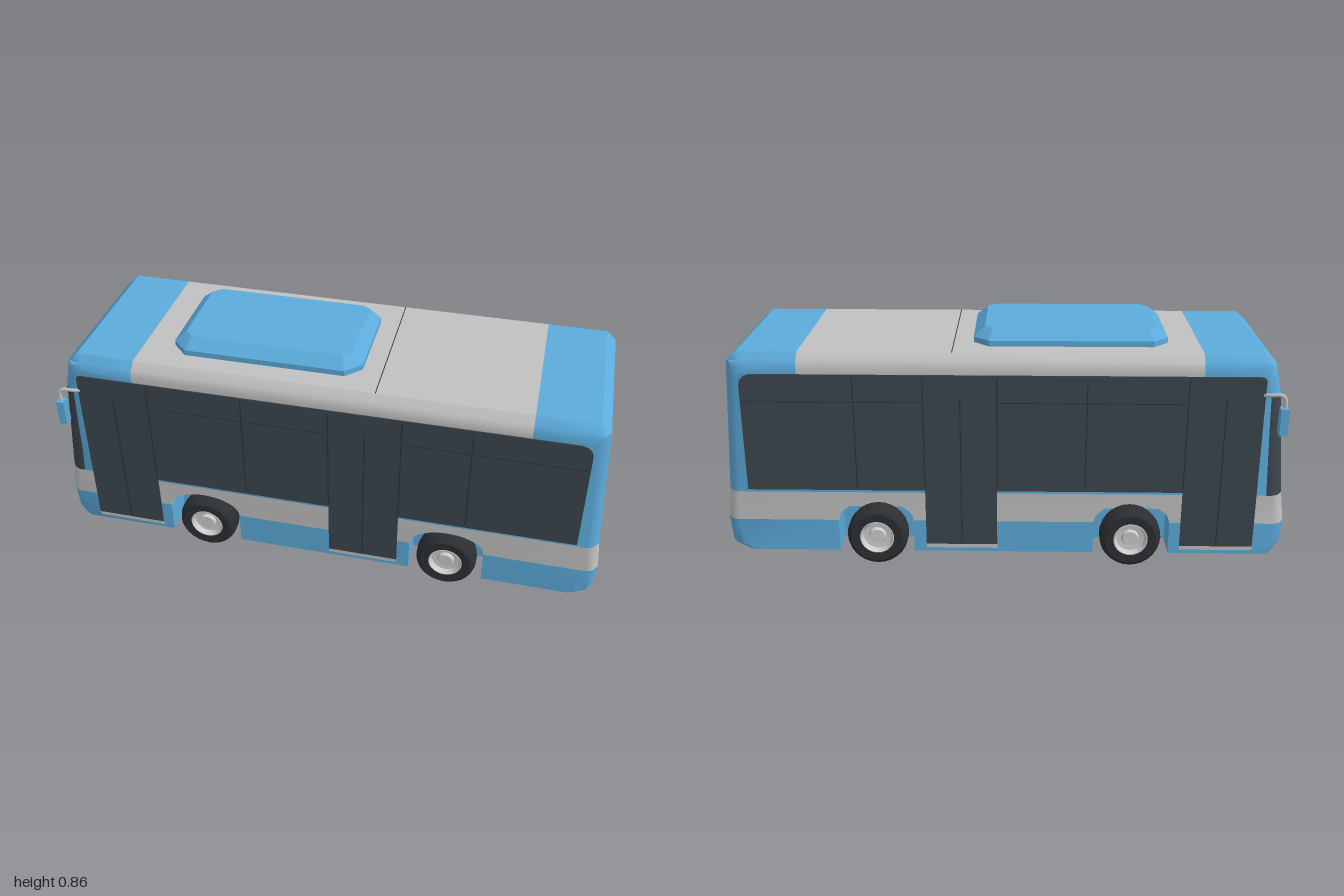
import * as THREE from 'three';
import { toCreasedNormals } from 'three/addons/utils/BufferGeometryUtils.js';

const mat = (name, color) => Object.assign(new THREE.MeshStandardMaterial({ color }), { name });

// End outlines of the body as [y, x], front of the bus at -x
const FRONT = [[0.06, -0.97], [0.1, -0.995], [0.18, -1], [0.29, -0.985], [0.66, -0.95], [0.77, -0.925], [0.8, -0.89]];
const REAR = [[0.06, 0.945], [0.085, 0.99], [0.18, 0.998], [0.29, 0.985], [0.77, 0.955], [0.8, 0.92]];
// Layers across the width: z, inset of the ends, height limit (rounds the corners and roof edges)
const HALF = [[0.32, 0.04, 0.755], [0.311, 0.018, 0.775], [0.285, 0, 0.8]];
const LAYERS = [...HALF.map(([z, i, t]) => [-z, i, t]), ...[...HALF].reverse()];
const WHEELS = [-0.455, 0.46];
const ARCH = 0.135;

function endX(table, y) {
  for (let i = 1; i < table.length; i++) {
    const [y0, x0] = table[i - 1], [y1, x1] = table[i];
    if (y <= y1) return x0 + (x1 - x0) * Math.max(0, (y - y0) / (y1 - y0));
  }
  return table[table.length - 1][1];
}

export function createModel() {
  const bus = new THREE.Group();
  bus.name = 'bus';
  const blue = mat('blue paint', 0x5cabdc);
  const white = mat('light grey paint', 0xc1c1c1);
  const glass = mat('dark glass', 0x3c464e);
  const seam = mat('dark seam', 0x2b343b);
  const rubber = mat('tyre rubber', 0x2c2f32);
  const rimGrey = mat('rim grey', 0xcdcdcd);

  const add = (name, geometry, material, parent = bus) => {
    const mesh = new THREE.Mesh(geometry, material);
    mesh.name = name;
    parent.add(mesh);
    return mesh;
  };
  const box = (name, m, x0, x1, y0, y1, z0, z1) =>
    add(name, new THREE.BoxGeometry(x1 - x0, y1 - y0, z1 - z0)
      .translate((x0 + x1) / 2, (y0 + y1) / 2, (z0 + z1) / 2), m);

  // Full-width slice of the body; a null x means the bus end. Arches are cut from the bottom edge.
  function slab(name, m, y0, y1, xa, xb, arches = []) {
    const shape = new THREE.Shape();
    const between = (t) => t.filter(([y]) => y > y0 && y < y1).map(([y, x]) => [x, y]);
    const side = (x, t) => x === null
      ? [[endX(t, y0), y0], ...between(t), [endX(t, y1), y1]] : [[x, y0], [x, y1]];
    const pts = side(xb, REAR).concat(side(xa, FRONT).reverse());
    shape.moveTo(...pts[0]);
    pts.slice(1).forEach((p) => shape.lineTo(...p));
    for (const w of arches) {
      shape.lineTo(w - ARCH, y0);
      shape.absellipse(w, y0, ARCH, 0.075, Math.PI, 0, true);
    }
    shape.closePath();
    const n = LAYERS.length - 1;
    const g = new THREE.ExtrudeGeometry(shape, { depth: n, steps: n, bevelEnabled: false, curveSegments: 10 });
    const p = g.attributes.position;
    for (let i = 0; i < p.count; i++) {
      const [z, inset, top] = LAYERS[Math.round(p.getZ(i))];
      const y = p.getY(i);
      const x = THREE.MathUtils.clamp(p.getX(i), endX(FRONT, y) + inset, endX(REAR, y) - inset);
      p.setXYZ(i, x, Math.min(y, top), z);
    }
    add(name, toCreasedNormals(g, 0.7), m);
  }

  // Lower body
  slab('frontSkirt', blue, 0.06, 0.18, null, WHEELS[0] - ARCH);
  slab('middleSkirt', blue, 0.06, 0.18, WHEELS[0] + ARCH, WHEELS[1] - ARCH);
  slab('rearSkirt', blue, 0.06, 0.18, WHEELS[1] + ARCH, null);
  slab('waistBand', white, 0.18, 0.29, null, null, WHEELS);
  for (const w of WHEELS) {
    box('wheelWellFloor', blue, w - 0.14, w + 0.14, 0.06, 0.18, -0.205, 0.205);
    box('wheelWellWall', white, w - 0.14, w + 0.14, 0.18, 0.27, -0.205, 0.205);
  }

  // Upper body and roof
  slab('cabin', blue, 0.29, 0.73, -0.925, null);
  slab('windscreen', glass, 0.29, 0.66, null, -0.925);
  slab('frontBrow', blue, 0.66, 0.73, null, -0.925);
  slab('frontRoof', blue, 0.73, 0.8, null, -0.68);
  slab('middleRoof', white, 0.73, 0.8, -0.68, 0.71);
  slab('rearRoof', blue, 0.73, 0.8, 0.71, null);
  box('roofSeam', seam, 0.178, 0.181, 0.795, 0.801, -0.284, 0.284);

  // Roof unit with bevelled edges
  const plan = new THREE.Shape([[-0.27, -0.17], [0.27, -0.17], [0.3, -0.14], [0.3, 0.14],
    [0.27, 0.17], [-0.27, 0.17], [-0.3, 0.14], [-0.3, -0.14]].map((p) => new THREE.Vector2(...p)));
  add('roofUnit', new THREE.ExtrudeGeometry(plan,
    { depth: 0.05, bevelSize: 0.04, bevelThickness: 0.035, bevelSegments: 1 })
    .rotateX(-Math.PI / 2).translate(-0.23, 0.77, 0), blue);

  // Side glazing, running down into both doors
  const glazing = new THREE.Shape();
  [[-0.89, 0.09], [-0.63, 0.09], [-0.63, 0.3], [0.025, 0.3], [0.025, 0.09], [0.28, 0.09], [0.28, 0.3], [0.91, 0.3]]
    .forEach(([x, y], i) => (i ? glazing.lineTo(x, y) : glazing.moveTo(x, y)));
  glazing.lineTo(0.91, 0.68);
  glazing.quadraticCurveTo(0.91, 0.73, 0.86, 0.73);
  glazing.lineTo(-0.87, 0.73);
  glazing.quadraticCurveTo(-0.89, 0.73, -0.89, 0.71);
  for (const s of [1, -1]) {
    add('sideGlazing', new THREE.ExtrudeGeometry(glazing, { depth: 0.008, bevelEnabled: false })
      .translate(0, 0, s > 0 ? 0.316 : -0.324), glass);
    const line = (x0, x1, y0, y1) => {
      const z = s * 0.3235;
      box('glazingSeam', seam, x0, x1, y0, y1, z - 0.002, z + 0.002);
    };
    for (const x of [-0.63, -0.285, 0.025, 0.28, 0.52]) line(x - 0.002, x + 0.002, 0.31, 0.72);
    for (const x of [-0.76, 0.152]) line(x - 0.002, x + 0.002, 0.095, 0.65);
    line(-0.62, 0.02, 0.63, 0.633);
    line(0.29, 0.9, 0.63, 0.633);
    for (const [x0, x1] of [[-0.89, -0.63], [0.025, 0.28]])
      box('doorSill', white, x0, x1, 0.075, 0.09, s * 0.318 - 0.005, s * 0.318 + 0.005);
  }

  // Thin plates lying on the sloped ends; points are [z, y]
  function endPlate(name, m, table, pts, lift) {
    const out = table === REAR ? 1 : -1;
    const g = new THREE.ShapeGeometry(new THREE.Shape(pts.map(([z, y]) => new THREE.Vector2(-out * z, y))));
    const p = g.attributes.position;
    for (let i = 0; i < p.count; i++) {
      const u = p.getX(i), y = p.getY(i);
      p.setXYZ(i, endX(table, y) + out * lift, y, -out * u);
    }
    g.computeVertexNormals();
    add(name, g, m);
  }
  const rect = (z0, z1, y0, y1) => [[z0, y0], [z1, y0], [z1, y1], [z0, y1]];
  endPlate('rearWindow', glass, REAR, rect(0.005, 0.24, 0.335, 0.748), 0.004);
  endPlate('rearWindow', glass, REAR, rect(-0.245, -0.005, 0.335, 0.752), 0.004);
  endPlate('rearWindowSeam', seam, REAR, rect(-0.24, 0.24, 0.591, 0.594), 0.006);
  endPlate('rearPanel', blue, REAR, [[-0.12, 0.232], [0.12, 0.232], [0.16, 0.29], [-0.16, 0.29]], 0.004);
  endPlate('numberPanelFrame', seam, REAR, rect(-0.092, 0.092, 0.118, 0.168), 0.003);
  endPlate('numberPanel', blue, REAR, rect(-0.089, 0.089, 0.121, 0.165), 0.005);
  for (const z of [-0.155, 0.155])
    endPlate('rearSkirtSeam', seam, REAR, rect(z - 0.0015, z + 0.0015, 0.086, 0.18), 0.003);
  endPlate('signWindow', glass, FRONT, rect(-0.27, 0.27, 0.69, 0.765), 0.004);

  // Wheels
  const v = (pts) => pts.map((p) => new THREE.Vector2(...p));
  const lathe = (pts) => toCreasedNormals(new THREE.LatheGeometry(v(pts), 28).rotateX(Math.PI / 2), 0.6);
  const tyre = lathe([[0, -0.045], [0.092, -0.045], [0.106, -0.032], [0.11, -0.015], [0.11, 0.02],
    [0.104, 0.037], [0.092, 0.046], [0.062, 0.044], [0.058, 0.02]]);
  const rim = lathe([[0.063, 0.043], [0.059, 0.045], [0.05, 0.026], [0.032, 0.024], [0.027, 0.036], [0, 0.036]]);
  for (const x of WHEELS) for (const s of [1, -1]) {
    const wheel = new THREE.Group();
    wheel.name = 'wheel';
    wheel.position.set(x, 0.11, s * 0.275);
    wheel.rotation.y = s > 0 ? 0 : Math.PI;
    add('tyre', tyre, rubber, wheel);
    add('rim', rim, rimGrey, wheel);
    bus.add(wheel);
  }

  // Mirrors on bent arms
  for (const s of [1, -1]) {
    const arm = new THREE.CatmullRomCurve3([[-0.88, 0.665, 0.315], [-0.9, 0.668, 0.328], [-0.945, 0.668, 0.333],
      [-0.955, 0.655, 0.336], [-0.955, 0.61, 0.338]].map(([x, y, z]) => new THREE.Vector3(x, y, s * z)));
    add('mirrorArm', new THREE.TubeGeometry(arm, 16, 0.007, 6), white);
    box('mirror', blue, -0.968, -0.94, 0.53, 0.625, s * 0.338 - 0.017, s * 0.338 + 0.017);
  }
  return bus;
}
